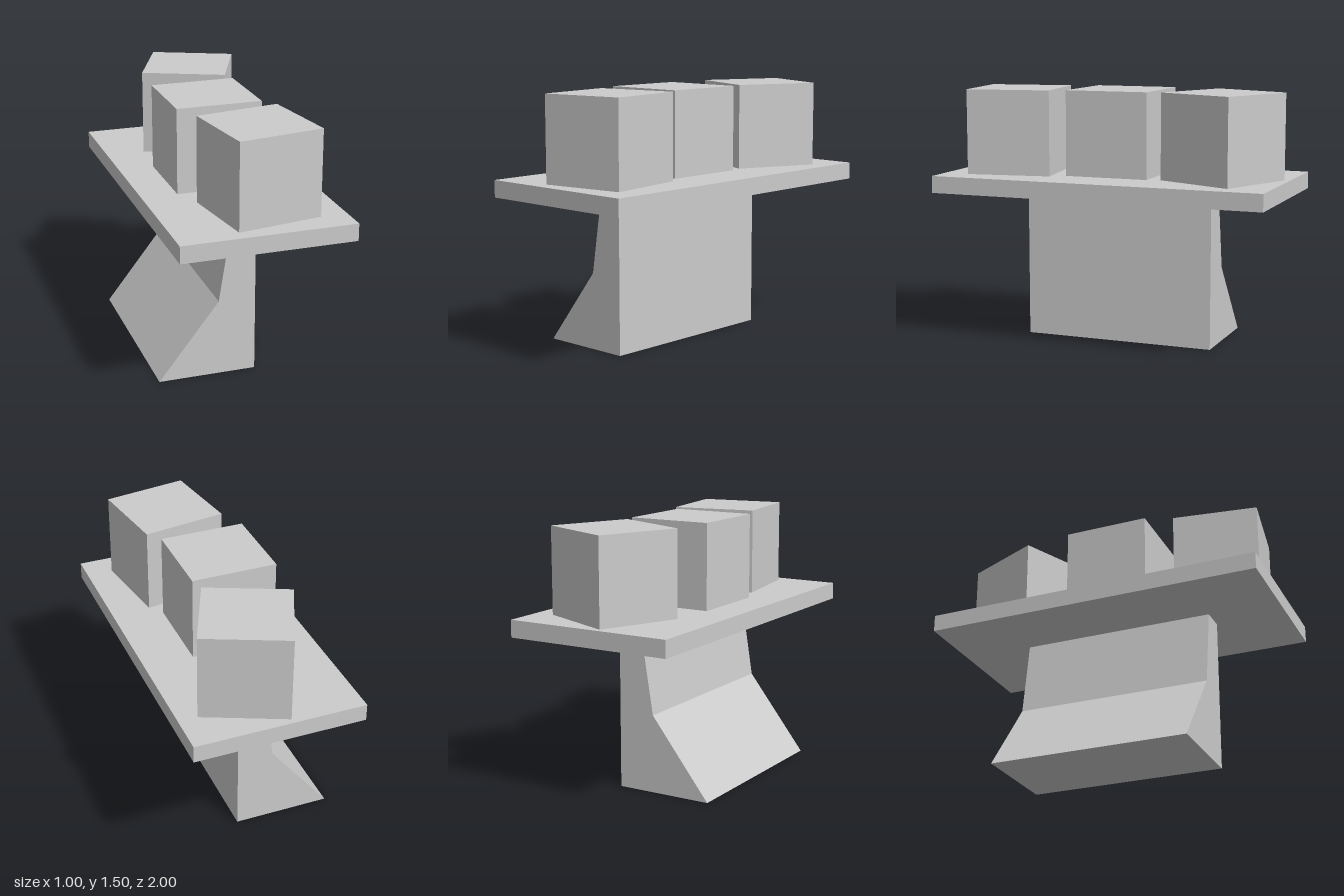
import * as THREE from 'three';

export function createModel() {
  const group = new THREE.Group();
  const material = new THREE.MeshStandardMaterial({ color: 0xcccccc, flatShading: true });

  const add = (name, geometry, x, y, z, turn = 0) => {
    const mesh = new THREE.Mesh(geometry, material);
    mesh.name = name;
    mesh.position.set(x, y, z);
    mesh.rotation.y = turn;
    group.add(mesh);
  };

  // Pedestal: upright on one side, flared foot on the other
  const profile = new THREE.Shape([
    [-0.5, 0], [0.07, 0], [0.07, 0.9], [-0.075, 0.9], [-0.147, 0.45],
  ].map(([x, y]) => new THREE.Vector2(x, y)));
  const pedestal = new THREE.ExtrudeGeometry(profile, { depth: 1.155, bevelEnabled: false });
  add('pedestal', pedestal, 0, 0, -0.575);

  // Flat top
  add('tabletop', new THREE.BoxGeometry(1, 0.1, 2), 0, 0.95, 0);

  // Three cubes standing on the top, each turned differently: x, z, turn
  const cube = new THREE.BoxGeometry(0.5, 0.5, 0.5);
  [
    ['frontCube', 0.06, 0.635, 0.15],
    ['middleCube', -0.04, 0.02, 0],
    ['backCube', 0.06, -0.638, -0.414],
  ].forEach(([name, x, z, turn]) => add(name, cube, x, 1.25, z, turn));

  return group;
}
